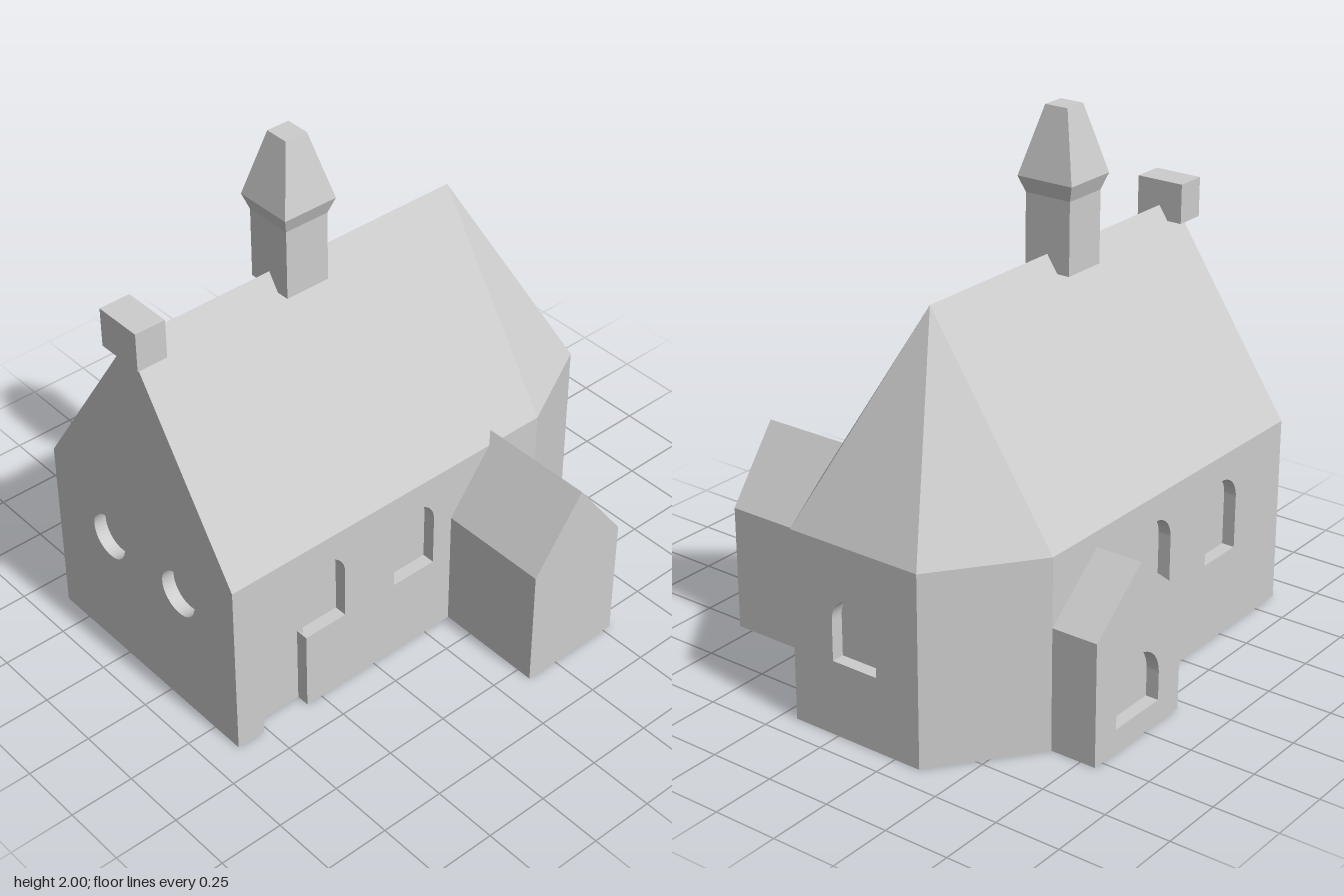
import * as THREE from 'three';

const EAVE = 0.725, RIDGE = 1.485, MID = -0.125; // roof heights and ridge z
const FRONT = 0.38, BACK = -0.63, WEST = -0.88, EAST = 0.905, CHOIR = 0.54;
const T = 0.05; // depth of the window and door recesses

const polygon = (points) => new THREE.Shape(points.map(([x, y]) => new THREE.Vector2(x, y)));

// Round-arched opening, or a full circle
function arch(x0, x1, sill, top) {
  const r = (x1 - x0) / 2;
  const p = new THREE.Path();
  p.moveTo(x0, sill);
  p.lineTo(x1, sill);
  p.lineTo(x1, top - r);
  p.absarc((x0 + x1) / 2, top - r, r, 0, Math.PI, false);
  p.lineTo(x0, sill);
  return p;
}
function circle(x, y, r) {
  const p = new THREE.Path();
  p.absarc(x, y, r, 0, Math.PI * 2, false);
  return p;
}

const extrude = (shape, depth) =>
  new THREE.ExtrudeGeometry(shape, { depth, bevelEnabled: false, curveSegments: 20 });

const house = (x0, x1, eave, peak) =>
  polygon([[x0, 0], [x1, 0], [x1, eave], [(x0 + x1) / 2, peak], [x0, eave]]);

export function createModel() {
  const model = new THREE.Group();
  model.name = 'chapel';
  const stone = new THREE.MeshStandardMaterial({ color: 0xcccccc });
  stone.name = 'pale grey stone';

  function add(name, geometry, x = 0, y = 0, z = 0, turn = 0) {
    const mesh = new THREE.Mesh(geometry, stone);
    mesh.name = name;
    mesh.position.set(x, y, z);
    mesh.rotation.y = turn;
    model.add(mesh);
    return mesh;
  }

  // Nave core behind the recessed openings
  const length = CHOIR - WEST - T, depth = FRONT - BACK - 2 * T;
  add('naveCore', new THREE.BoxGeometry(length, EAVE, depth),
    WEST + T + length / 2, EAVE / 2, (FRONT + BACK) / 2);

  // Nave roof
  add('naveRoof', extrude(polygon([[-FRONT, EAVE], [-BACK, EAVE], [-MID, RIDGE]]), length),
    WEST + T, 0, 0, Math.PI / 2);

  // Front wall: the door cuts into the window beside it, so both form one notch
  const front = new THREE.Shape();
  front.moveTo(WEST + T, 0);
  front.lineTo(-0.765, 0);
  front.lineTo(-0.765, 0.305);
  front.absarc(-0.665, 0.305, 0.1, Math.PI, 0.555, true);
  front.lineTo(-0.58, 0.53);
  front.absarc(-0.4825, 0.53, 0.0975, Math.PI, 0, true);
  front.lineTo(-0.385, 0.325);
  front.lineTo(-0.565, 0.325);
  front.lineTo(-0.565, 0);
  front.lineTo(CHOIR, 0);
  front.lineTo(CHOIR, EAVE);
  front.lineTo(WEST + T, EAVE);
  front.closePath();
  front.holes.push(arch(-0.155, 0.035, 0.325, 0.625));
  add('frontWall', extrude(front, T), 0, 0, FRONT - T);

  // Back wall, drawn as seen from behind
  const back = polygon([[-CHOIR, 0], [-WEST - T, 0], [-WEST - T, EAVE], [-CHOIR, EAVE]]);
  back.holes.push(arch(0.385, 0.58, 0.325, 0.625), arch(-0.035, 0.155, 0.325, 0.625));
  add('backWall', extrude(back, T), 0, 0, BACK + T, Math.PI);

  // West gable with two round windows
  const gable = polygon([[BACK, 0], [FRONT, 0], [FRONT, EAVE], [MID, RIDGE], [BACK, EAVE]]);
  gable.holes.push(circle(-0.32, 0.515, 0.09), circle(0.075, 0.515, 0.09));
  add('westGable', extrude(gable, T), WEST + T, 0, 0, -Math.PI / 2);

  // Apse: three-sided end, its east face a separate panel with a window
  const zf = 0.19, zb = -0.355;
  const k = T / (EAST - CHOIR);
  const zfIn = zf + (FRONT - zf) * k, zbIn = zb + (BACK - zb) * k;
  const plan = polygon([[CHOIR, -FRONT], [EAST - T, -zfIn], [EAST - T, -zbIn], [CHOIR, -BACK]]);
  add('apseCore', extrude(plan, EAVE).rotateX(-Math.PI / 2));

  const east = polygon([[-zf, 0], [-zb, 0], [-zb, EAVE], [-zf, EAVE]]);
  east.holes.push(arch(-0.015, 0.175, 0.285, 0.535));
  const eastGeometry = extrude(east, T);
  const pos = eastGeometry.attributes.position;
  for (let i = 0; i < pos.count; i++) { // widen the inner edge to follow the slanted walls
    if (pos.getZ(i) > T / 2) continue;
    if (Math.abs(pos.getX(i) + zf) < 1e-4) pos.setX(i, -zfIn);
    if (Math.abs(pos.getX(i) + zb) < 1e-4) pos.setX(i, -zbIn);
  }
  eastGeometry.computeVertexNormals();
  add('apseEastWall', eastGeometry, EAST - T, 0, 0, Math.PI / 2);

  // Apse roof: three faces meeting at the ridge end
  const rim = [[CHOIR, EAVE, FRONT], [EAST, EAVE, zf], [EAST, EAVE, zb], [CHOIR, EAVE, BACK]];
  const faces = [];
  for (let i = 0; i < 3; i++) faces.push(...rim[i], ...rim[i + 1], CHOIR, RIDGE, MID);
  const apseRoof = new THREE.BufferGeometry();
  apseRoof.setAttribute('position', new THREE.Float32BufferAttribute(faces, 3));
  apseRoof.computeVertexNormals();
  add('apseRoof', apseRoof);

  // Porches
  add('frontPorch', extrude(house(0.12, 0.535, 0.485, 0.765), 0.81 - FRONT + T), 0, 0, FRONT - T);
  const backPorch = () => house(-CHOIR, -0.045, 0.465, 0.665);
  add('backPorchCore', extrude(backPorch(), 0.18), 0, 0, BACK + T, Math.PI);
  const porchWall = backPorch();
  porchWall.holes.push(arch(-0.42, -0.17, 0.09, 0.32));
  add('backPorchWall', extrude(porchWall, T), 0, 0, -0.76, Math.PI);

  // Ridge turret: square shaft, flared collar and tapered cap
  const profile = [[0, 1.42], [0.09, 1.42], [0.09, 1.69], [0.11, 1.75], [0.045, 2], [0, 2]]
    .map(([r, y]) => new THREE.Vector2(r * Math.SQRT2, y));
  const turret = new THREE.LatheGeometry(profile, 4, Math.PI / 4).toNonIndexed();
  turret.scale(1, 1, 1.04);
  turret.computeVertexNormals();
  add('ridgeTurret', turret, -0.19, 0, MID);

  // Chimney block on the west end of the ridge
  add('chimney', new THREE.BoxGeometry(0.12, 0.15, 0.19), -0.85, 1.505, MID);

  return model;
}
